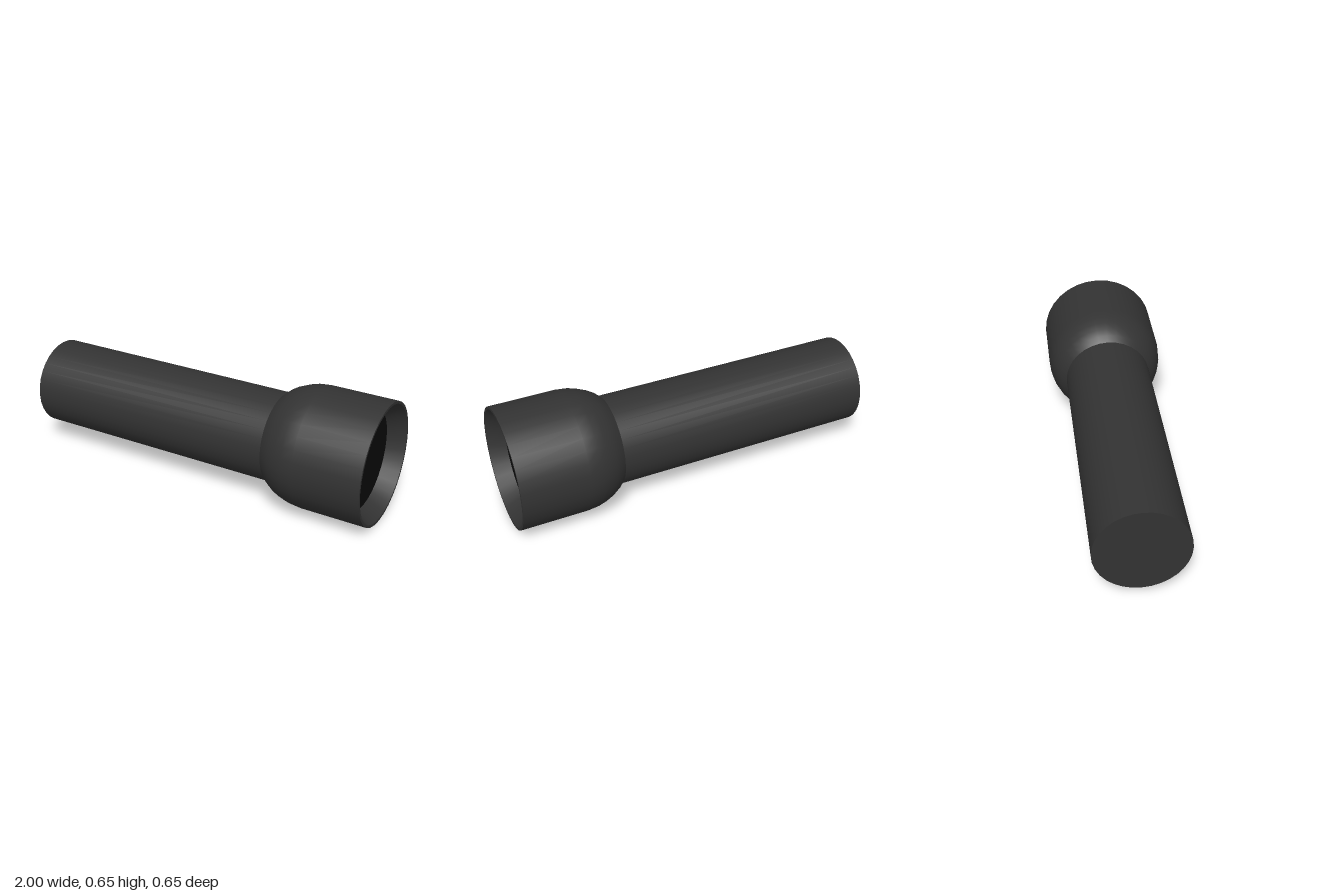
import * as THREE from 'three';

const SEGMENTS = 32;
const AXIS_Y = 0.327;

export function createModel() {
  const group = new THREE.Group();
  group.name = 'flashlight';
  const body = new THREE.MeshStandardMaterial({ color: 0x333333 });
  const dark = new THREE.MeshStandardMaterial({ color: 0x0a0a0a });

  // Spins a profile of [x along the axis, radius] around the x axis.
  function addLathe(name, profile, material) {
    const points = profile.map(([x, r]) => new THREE.Vector2(r, x));
    const geometry = new THREE.LatheGeometry(points, SEGMENTS);
    geometry.rotateZ(-Math.PI / 2);
    geometry.translate(0, AXIS_Y, 0);
    const mesh = new THREE.Mesh(geometry, material);
    mesh.name = name;
    group.add(mesh);
  }

  // Plain tube grip with a closed tail
  addLathe('handle', [[-1, 0.24], [0.43, 0.24]], body);
  addLathe('tailCap', [[-1, 0], [-1, 0.24]], body);

  // Head swells from the neck to a straight bezel
  addLathe('head', [
    [0.425, 0.24], [0.455, 0.267], [0.49, 0.289], [0.53, 0.306],
    [0.575, 0.319], [0.64, 0.326], [1, 0.326],
  ], body);

  // Narrow front rim, sloping reflector and recessed lens
  addLathe('rim', [[1, 0.326], [1, 0.312]], body);
  addLathe('reflector', [[1, 0.312], [0.91, 0.259]], body);
  addLathe('lens', [[0.91, 0.259], [0.91, 0]], dark);

  return group;
}
